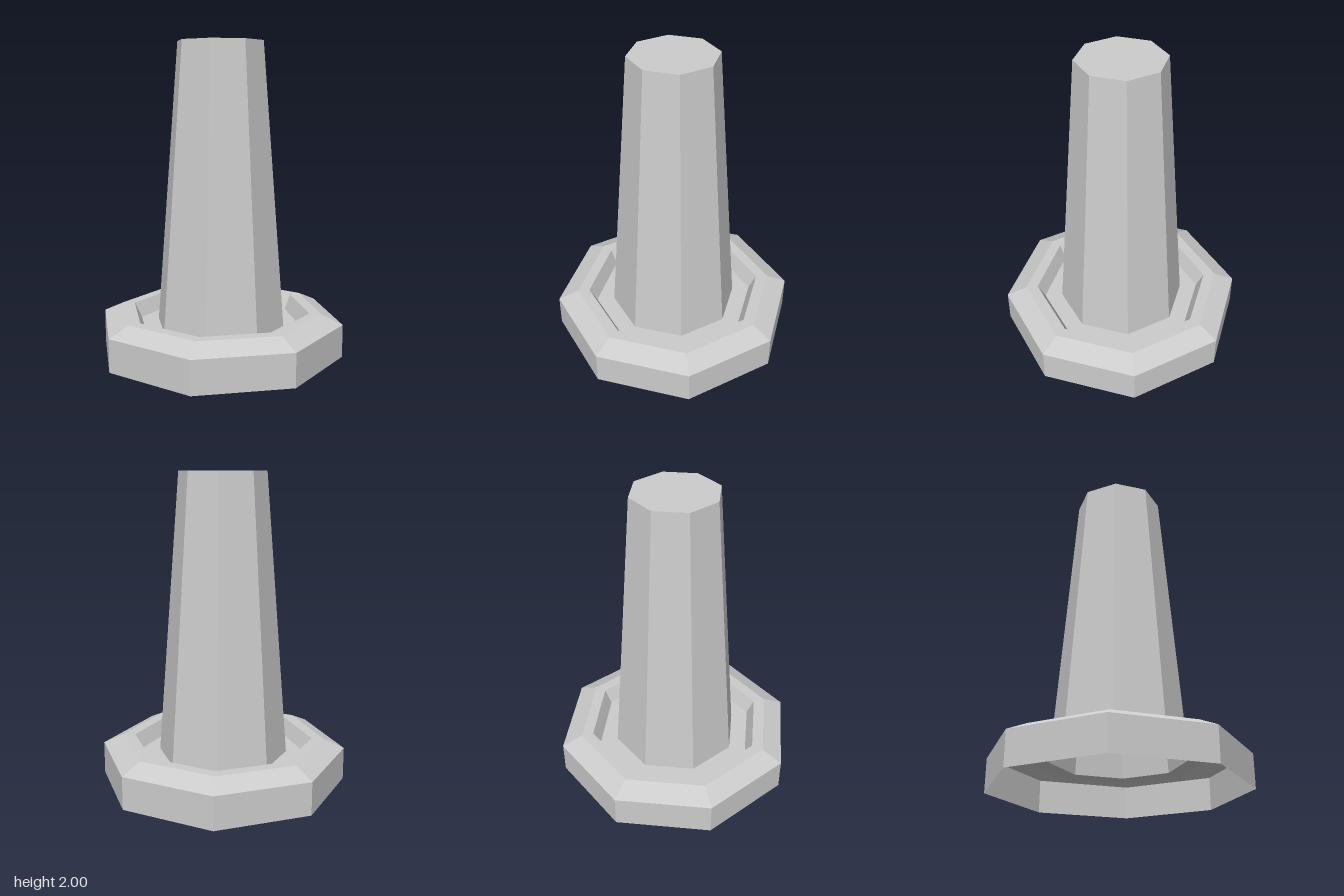
import * as THREE from 'three';

const SIDES = 8;

export function createModel() {
  const model = new THREE.Group();
  const material = new THREE.MeshStandardMaterial({
    color: 0xcccccc, flatShading: true, side: THREE.DoubleSide,
  });

  // Eight-sided shell turned from a profile of [radius, height] points
  const addShell = (name, profile) => {
    const points = profile.map(([r, y]) => new THREE.Vector2(r, y));
    const mesh = new THREE.Mesh(new THREE.LatheGeometry(points, SIDES), material);
    mesh.name = name;
    model.add(mesh);
  };

  // Base: open underneath, bevelled rim, sunken floor around the column
  addShell('base', [
    [0.8, 0], [0.8, 0.212], [0.665, 0.274], [0.587, 0.274], [0.538, 0.18], [0.42, 0.18],
  ]);

  // Column: hollow and tapered, open at the foot
  addShell('column', [[0.42, 0.18], [0.276, 2]]);

  // Flat lid closing the column
  addShell('columnTop', [[0.276, 2], [0, 2]]);

  return model;
}
